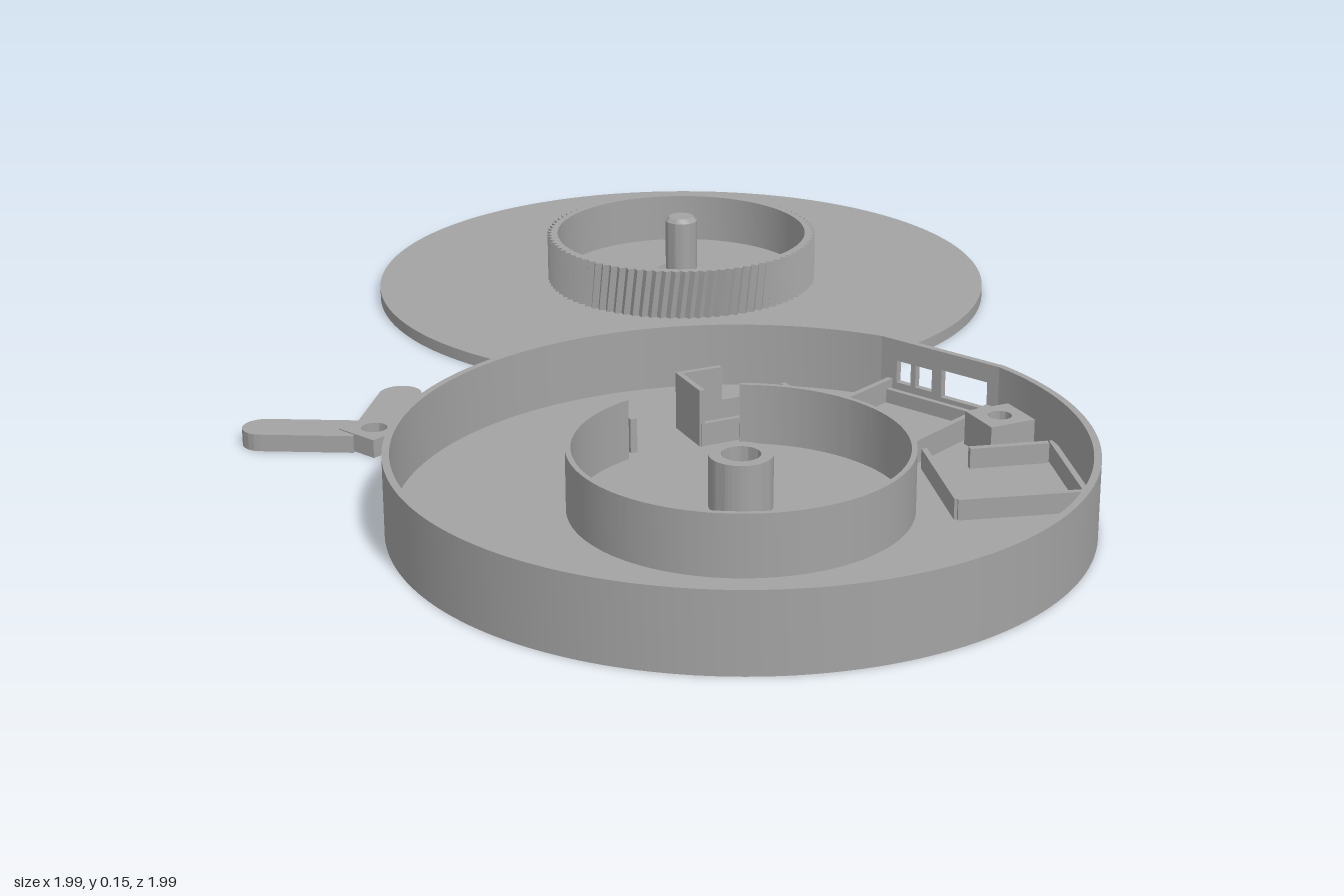
import * as THREE from 'three';
import { toCreasedNormals } from 'three/addons/utils/BufferGeometryUtils.js';

const grey = new THREE.MeshStandardMaterial({ color: 0xa3a3a3 });
grey.name = 'plain grey';

function add(parent, name, geometry, x = 0, y = 0, z = 0, ry = 0) {
  const mesh = new THREE.Mesh(geometry, grey);
  mesh.name = name;
  mesh.position.set(x, y, z);
  mesh.rotation.y = ry;
  parent.add(mesh);
  return mesh;
}

// Upright extrusion of a plan shape (shape y points to the back)
function upright(shape, height, steps = 1) {
  const g = new THREE.ExtrudeGeometry(shape, { depth: height, bevelEnabled: false, curveSegments: 96, steps });
  g.rotateX(-Math.PI / 2);
  return g;
}
const smooth = (g) => toCreasedNormals(g, 0.5);

function circlePath(r, x = 0, y = 0) {
  const p = new THREE.Path();
  p.absarc(x, y, r, 0, Math.PI * 2, true);
  return p;
}

function disc(r, hole) {
  const s = new THREE.Shape();
  s.absarc(0, 0, r, 0, Math.PI * 2, false);
  if (hole) s.holes.push(circlePath(hole));
  return s;
}

// Open ring wall between two angles
function arcWall(outer, inner, a, b) {
  const s = new THREE.Shape();
  s.absarc(0, 0, outer, a, b, false);
  s.absarc(0, 0, inner, b, a, true);
  s.closePath();
  return s;
}

function rectHole(x0, y0, x1, y1) {
  return new THREE.Path([[x0, y0], [x0, y1], [x1, y1], [x1, y0]].map((p) => new THREE.Vector2(...p)));
}

// Thin straight partition standing on the housing floor
function partition(parent, name, x0, z0, x1, z1, top, thick = 0.01) {
  const length = Math.hypot(x1 - x0, z1 - z0);
  const h = top - 0.015;
  add(parent, name, new THREE.BoxGeometry(length, h, thick),
    (x0 + x1) / 2, 0.015 + h / 2, (z0 + z1) / 2, -Math.atan2(z1 - z0, x1 - x0));
}

function createLid() {
  const lid = new THREE.Group();
  lid.name = 'lid';
  lid.position.set(-0.403, 0, -0.4);
  add(lid, 'lidDisc', smooth(upright(disc(0.597), 0.022)));

  // Ribbed ring with slightly slanted teeth
  const teeth = 90, pts = [];
  for (let i = 0; i < teeth * 2; i++) {
    const a = (i * Math.PI) / teeth, r = i % 2 ? 0.265 : 0.256;
    pts.push(new THREE.Vector2(r * Math.cos(a), r * Math.sin(a)));
  }
  const ribbed = new THREE.Shape(pts);
  ribbed.holes.push(circlePath(0.245));
  const g = upright(ribbed, 0.094, 3);
  const p = g.attributes.position;
  for (let i = 0; i < p.count; i++) {
    const t = p.getY(i) * 0.45, x = p.getX(i), z = p.getZ(i);
    p.setX(i, x * Math.cos(t) + z * Math.sin(t));
    p.setZ(i, z * Math.cos(t) - x * Math.sin(t));
  }
  add(lid, 'ribbedRing', toCreasedNormals(g, 0.3), 0, 0.021, 0);

  // Centre pin with collar and chamfered tip
  const profile = [[0.05, 0.021], [0.05, 0.034], [0.031, 0.04], [0.031, 0.138], [0.024, 0.146], [0, 0.146]];
  add(lid, 'centrePin', smooth(new THREE.LatheGeometry(profile.map((q) => new THREE.Vector2(...q)), 40)));
  return lid;
}

function createHousing() {
  const R = 0.564, T = 0.012, H = 0.133, flat = 0.55, cx = 0.43, cz = 0.426;
  const half = Math.sqrt(R * R - flat * flat);
  const a = Math.atan2(flat, half);
  const housing = new THREE.Group();
  housing.name = 'housing';
  housing.position.set(cx, 0, cz);

  // Floor and outer wall, both cut flat at the back
  const floor = new THREE.Shape();
  floor.absarc(0, 0, R, Math.PI - a, Math.PI * 2 + a, false);
  floor.closePath();
  add(housing, 'housingFloor', smooth(upright(floor, 0.02)));
  add(housing, 'outerWall', smooth(upright(arcWall(R, R - T, Math.PI - a, Math.PI * 2 + a), H)));

  // Flat back wall with socket and switch openings
  const back = new THREE.Shape();
  back.moveTo(-half, 0);
  back.lineTo(half, 0);
  back.lineTo(half, H);
  back.lineTo(-half, H);
  back.closePath();
  back.holes.push(rectHole(0.005, 0.05, 0.1, 0.1));
  back.holes.push(rectHole(-0.05, 0.055, -0.015, 0.095));
  back.holes.push(rectHole(-0.09, 0.055, -0.06, 0.095));
  add(housing, 'backWall', new THREE.ExtrudeGeometry(back, { depth: T, bevelEnabled: false }), 0, 0, -flat);

  // Inner ring with a gap, and the centre hub
  const rad = Math.PI / 180;
  add(housing, 'innerRing', smooth(upright(arcWall(0.278, 0.269, 173 * rad, 490 * rad), 0.106)), 0, 0.019, 0);
  add(housing, 'centreHub', smooth(upright(disc(0.052, 0.032), 0.09)), 0, 0.019, 0);

  // Compartments, laid out in plan coordinates
  const inner = new THREE.Group();
  inner.name = 'compartments';
  inner.position.set(-cx, 0, -cz);
  housing.add(inner);

  // Square bay behind the socket
  partition(inner, 'bayFront', 0.32, 0.1, 0.54, 0.1, 0.06);
  partition(inner, 'bayRight', 0.326, -0.115, 0.326, 0.1, 0.06);
  partition(inner, 'bayLeft', 0.534, -0.115, 0.534, 0.1, 0.06);
  partition(inner, 'bayBack', 0.32, -0.1, 0.54, -0.1, 0.045);

  // Slanted holder with a tall end
  partition(inner, 'holderBack', 0.215, 0.05, 0.3, 0.09, 0.07);
  partition(inner, 'holderOuterSide', 0.215, 0.05, 0.134, 0.23, 0.06);
  partition(inner, 'holderInnerSide', 0.295, 0.088, 0.214, 0.27, 0.06);
  partition(inner, 'holderTallEnd', 0.131, 0.23, 0.218, 0.27, 0.12);
  partition(inner, 'holderTallCorner', 0.134, 0.23, 0.166, 0.16, 0.12);

  // Angled pocket
  partition(inner, 'pocketRight', 0.56, 0.11, 0.725, 0.25, 0.055);
  partition(inner, 'pocketLeft', 0.725, 0.25, 0.86, 0.09, 0.055);
  partition(inner, 'pocketBack', 0.7, -0.055, 0.86, 0.09, 0.055);
  partition(inner, 'pocketRail', 0.615, 0.06, 0.7, -0.045, 0.055, 0.012);

  // Small guide tab beside the ring gap
  partition(inner, 'guideTab', 0.094, 0.34, 0.15, 0.366, 0.08, 0.012);

  // Screw block with a round hole
  const block = new THREE.Shape([[-1, -1], [1, -1], [1, 1], [-1, 1]]
    .map(([x, y]) => new THREE.Vector2(x * 0.042, y * 0.042)));
  block.holes.push(circlePath(0.02));
  add(inner, 'screwBlock', smooth(upright(block, 0.06)), 0.604, 0.019, -0.043, -0.42);
  return housing;
}

function createLever() {
  const lever = new THREE.Group();
  lever.name = 'lever';
  lever.position.set(-0.243, 0, 0.587);

  // Two round-ended arms starting at the block's edge
  const w = 0.037;
  for (const [name, dx, dz] of [['backArm', -0.09, -0.147], ['frontArm', -0.15, 0.115]]) {
    const len = Math.hypot(dx, dz);
    const s = new THREE.Shape();
    s.moveTo(0.03, -w);
    s.lineTo(len, -w);
    s.absarc(len, 0, w, -Math.PI / 2, Math.PI / 2, false);
    s.lineTo(0.03, w);
    s.closePath();
    add(lever, name, smooth(upright(s, 0.03)), 0, 0, 0, Math.atan2(-dz, dx));
  }

  // Pivot block with a through hole
  const b = 0.042;
  const block = new THREE.Shape([[-b, -b], [b, -b], [b, b], [-b, b]].map((q) => new THREE.Vector2(...q)));
  block.holes.push(circlePath(0.022));
  add(lever, 'pivotBlock', smooth(upright(block, 0.032)));
  return lever;
}

export function createModel() {
  const model = new THREE.Group();
  model.name = 'discDispenserParts';
  model.add(createLid(), createHousing(), createLever());
  return model;
}
